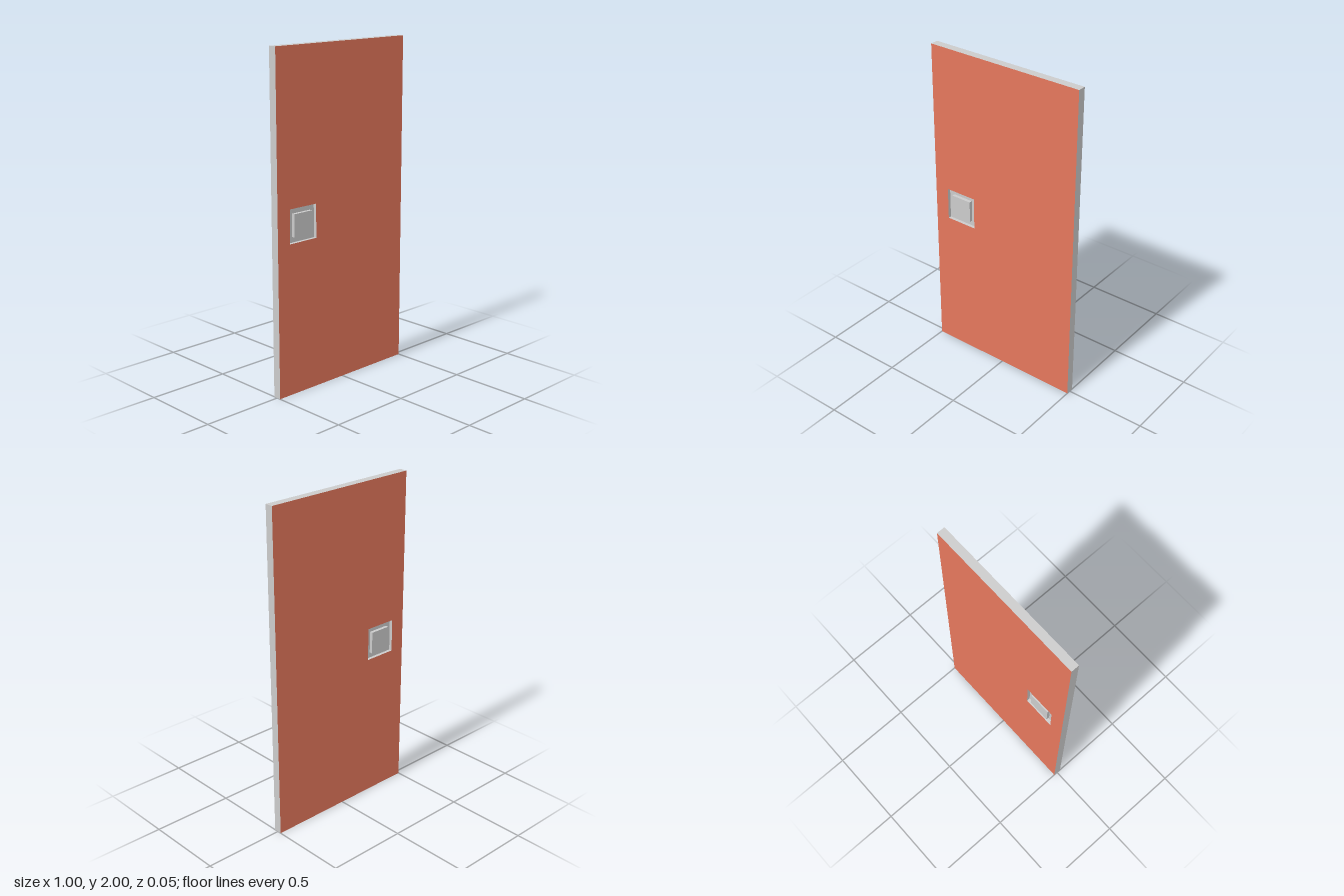
import * as THREE from 'three';

const W = 1, H = 2, T = 0.05;              // door slab
const HX = -0.31, HY = 1.0;                // centre of the handle pocket
const POCKET = 0.2, GRIP = 0.134, DEPTH = 0.02;

export function createModel() {
  const group = new THREE.Group();
  group.name = 'slidingDoor';
  const grey = new THREE.MeshStandardMaterial({ color: 0xcccccc });
  const red = new THREE.MeshStandardMaterial({ color: 0xe5775c });

  const rectangle = (Path, cx, cy, w, h) => new Path([
    [-1, -1], [1, -1], [1, 1], [-1, 1],
  ].map(([x, y]) => new THREE.Vector2(cx + x * w / 2, cy + y * h / 2)));

  const add = (name, geometry, material, x = 0, y = 0, z = 0) => {
    const mesh = new THREE.Mesh(geometry, material);
    mesh.name = name;
    mesh.position.set(x, y, z);
    group.add(mesh);
  };

  // Slab with a square opening: red faces, grey edges and pocket walls
  const outline = rectangle(THREE.Shape, 0, H / 2, W, H);
  outline.holes.push(rectangle(THREE.Path, HX, HY, POCKET, POCKET));
  const slab = new THREE.ExtrudeGeometry(outline, { depth: T, bevelEnabled: false });
  add('doorPanel', slab, [red, grey], 0, 0, -T / 2);

  // Floor shared by the pockets on both sides
  add('pocketFloor', new THREE.BoxGeometry(POCKET, POCKET, T - 2 * DEPTH), grey, HX, HY);

  // Raised square grip on each side, level with the door face
  for (const [name, side] of [['frontGrip', 1], ['backGrip', -1]]) {
    add(name, new THREE.BoxGeometry(GRIP, GRIP, DEPTH), grey,
      HX, HY, side * (T - DEPTH) / 2);
  }
  return group;
}
